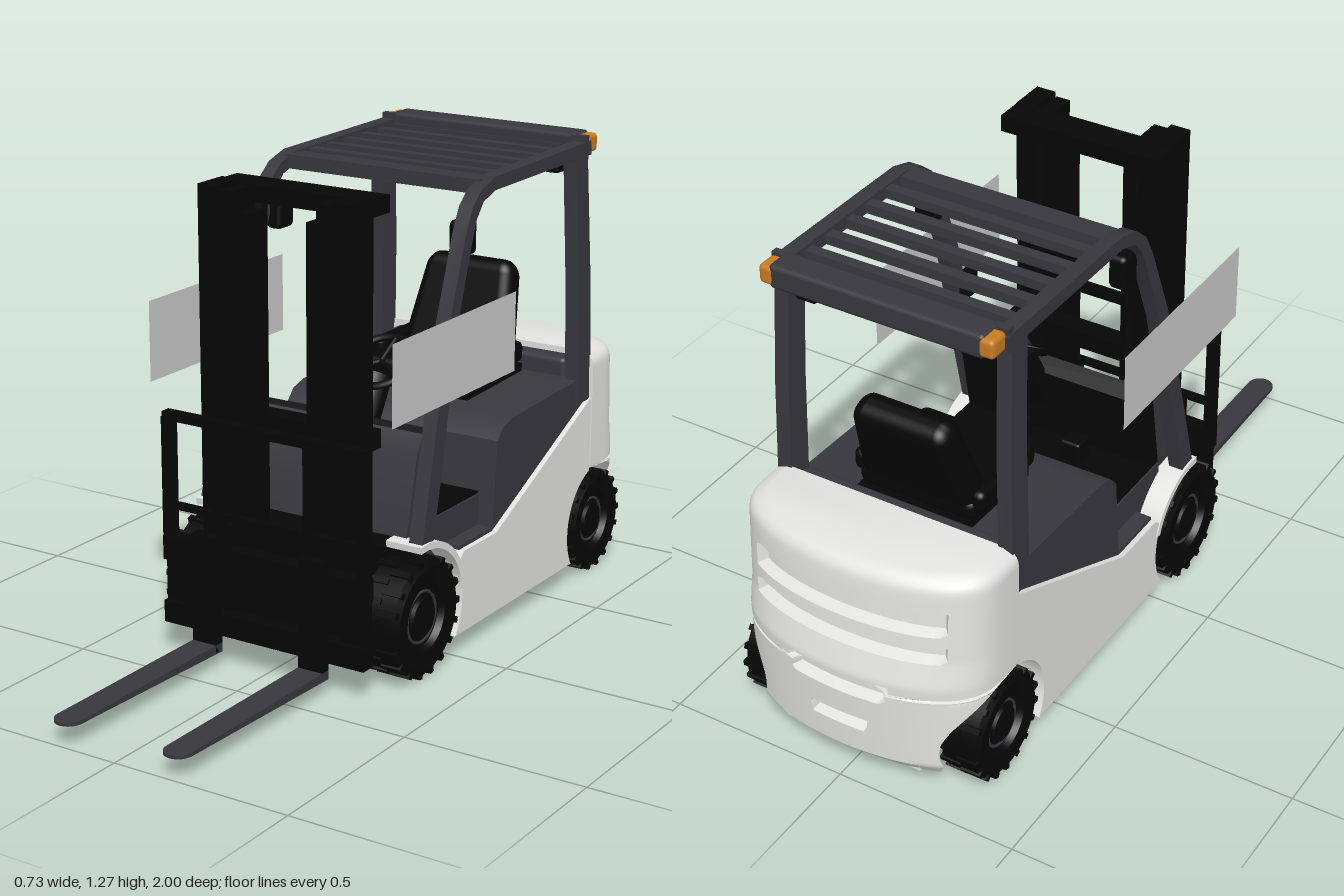
import * as THREE from 'three';
import { toCreasedNormals } from 'three/addons/utils/BufferGeometryUtils.js';
import { RoundedBoxGeometry } from 'three/addons/geometries/RoundedBoxGeometry.js';

const mat = (name, color, side = THREE.FrontSide) => {
  const m = new THREE.MeshStandardMaterial({ color, side });
  m.name = name;
  return m;
};

export function createModel() {
  const root = new THREE.Group();
  root.name = 'forklift';
  const white = mat('bodyWhite', 0xe2e2e0);
  const dark = mat('frameGrey', 0x37373d);
  const black = mat('black', 0x060606);
  const orange = mat('lampOrange', 0xc87a22);
  const grey = mat('panelGrey', 0xc8c8c8, THREE.DoubleSide);

  const add = (name, geo, m, parent = root) => {
    const mesh = new THREE.Mesh(geo, m);
    mesh.name = name;
    parent.add(mesh);
    return mesh;
  };
  // Box given by its x, y and z ranges
  const box = (name, m, [x0, x1], [y0, y1], [z0, z1], r = 0) => {
    const s = [x1 - x0, y1 - y0, z1 - z0];
    const g = r ? new RoundedBoxGeometry(...s, 3, r) : new THREE.BoxGeometry(...s);
    g.translate((x0 + x1) / 2, (y0 + y1) / 2, (z0 + z1) / 2);
    return add(name, g, m);
  };
  // The same box on both sides
  const pair = (name, m, [x0, x1], y, z, r) => {
    box(name + 'Left', m, [x0, x1], y, z, r);
    box(name + 'Right', m, [-x1, -x0], y, z, r);
  };
  const rod = (name, m, a, b, r, parent) => {
    const path = new THREE.LineCurve3(new THREE.Vector3(...a), new THREE.Vector3(...b));
    const mesh = add(name, new THREE.CylinderGeometry(r, r, path.getLength(), 14), m, parent);
    mesh.position.copy(path.getPoint(0.5));
    mesh.quaternion.setFromUnitVectors(new THREE.Vector3(0, 1, 0), path.getTangent(0));
    return mesh;
  };
  // Side profile of [z, y] points extruded across x
  const prism = (pts, x0, x1) => {
    const g = new THREE.ExtrudeGeometry(new THREE.Shape(pts.map(p => new THREE.Vector2(...p))), { depth: x1 - x0, bevelEnabled: false });
    g.rotateY(-Math.PI / 2);
    g.translate(x1, 0, 0);
    return toCreasedNormals(g, 0.6);
  };
  const arc = (z, y, r, a0, a1, n = 14) => Array.from({ length: n + 1 }, (_, i) => {
    const a = (a0 + (a1 - a0) * i / n) * Math.PI / 180;
    return [z + r * Math.cos(a), y + r * Math.sin(a)];
  });

  // Lower body with wheel arch cutouts, and the front fenders
  add('body', prism([
    ...arc(0.16, 0.165, 0.185, 215, 150), [-0.03, 0.285], [-0.2, 0.285], [-0.72, 0.525],
    ...arc(-0.77, 0.147, 0.17, 73, -31)], -0.35, 0.35), white);
  for (const s of [-1, 1]) {
    const c = s * 0.3;
    add('frontFender', prism([...arc(0.16, 0.165, 0.18, 160, 82), ...arc(0.16, 0.165, 0.198, 82, 160)], c - 0.053, c + 0.053), white);
  }
  add('hood', prism([[-0.2, 0.27], [-0.222, 0.53], [-0.25, 0.56], [-0.3, 0.574], [-0.72, 0.59], [-0.72, 0.3]], -0.335, 0.335), dark);
  box('floor', dark, [-0.29, 0.29], [0.2, 0.38], [-0.21, 0.09]);
  box('floorMat', black, [-0.285, 0.285], [0.38, 0.386], [-0.21, 0.09]);
  pair('step', dark, [0.28, 0.335], [0.27, 0.295], [-0.2, -0.03]);
  box('rearCowl', dark, [-0.29, 0.29], [0.55, 0.64], [-0.74, -0.67], 0.015);
  box('frontAxle', black, [-0.24, 0.24], [0.064, 0.35], [-0.03, 0.21]);
  box('rearAxle', black, [-0.19, 0.19], [0.08, 0.32], [-0.95, -0.6]);
  box('rearUnderside', white, [-0.2, 0.2], [0.06, 0.085], [-0.94, -0.6]);

  // Counterweight: stacked outlines with pressed-in slots at the back
  const profile = [[0.06, 0.235], [0.1, 0.27], [0.35, 0.28], [0.42, 0.258], [0.6, 0.243], [0.66, 0.235]];
  const slots = [[0.5, 0.558, 0.27], [0.42, 0.462, 0.26], [0.28, 0.335, 0.13], [0.17, 0.205, 0.08]];
  const depthAt = y => {
    const i = Math.max(1, profile.findIndex(p => p[0] >= y));
    const [a, b] = [profile[i - 1], profile[i]];
    return a[1] + (b[1] - a[1]) * (y - a[0]) / (b[0] - a[0]);
  };
  // Rounded rectangle with a bowed back, at angle t
  const outline = (t, w, D) => {
    const c = Math.cos(t), s = Math.max(0, Math.sin(t));
    const k = (Math.abs(c) ** 5 + s ** 5) ** -0.2;
    return [w * c * k, D * s * k * (1 - 0.28 * (c * k) ** 2)];
  };
  const rows = 60, cols = 72, pos = [], idx = [];
  for (let j = 0; j <= rows; j++) {
    const y = 0.06 + 0.597 * j / rows;
    const s = Math.min(1, Math.max(0, (y - 0.617) / 0.04));
    const inset = 0.04 * (1 - Math.sqrt(1 - s * s));
    const w = 0.353 - inset, D = depthAt(y) - inset;
    const h = 0.17 ** 2 - (y - 0.147) ** 2;
    const start = h > 0 ? 0.05 + Math.sqrt(h) : 0;
    let t0 = 0;
    while (t0 < 1.4 && outline(t0, w, D)[1] < start) t0 += 0.004;
    for (let i = 0; i <= cols; i++) {
      let [x, d] = outline(t0 + (Math.PI - 2 * t0) * i / cols, w, D);
      if (slots.some(([a, b, e]) => y > a && y < b && Math.abs(x) < e)) d -= 0.03;
      pos.push(x, y, -0.72 - d);
    }
  }
  const n = cols + 1;
  for (let j = 0; j < rows; j++) for (let i = 0; i < n; i++) {
    const a = j * n + i, b = j * n + (i + 1) % n;
    idx.push(a, b, b + n, a, b + n, a + n);
  }
  pos.push(0, 0.06, -0.93, 0, 0.657, -0.8);
  for (let i = 0; i < n; i++) {
    const k = (i + 1) % n, top = rows * n;
    idx.push(n * (rows + 1), k, i, n * (rows + 1) + 1, top + i, top + k);
  }
  const cw = new THREE.BufferGeometry();
  cw.setAttribute('position', new THREE.Float32BufferAttribute(pos, 3));
  cw.setIndex(idx);
  add('counterweight', toCreasedNormals(cw, 0.6), white);

  // Wheels with tread lugs
  const wheel = (name, x, y, z, r, w) => {
    const g = new THREE.Group();
    g.name = name;
    g.position.set(x, y, z);
    root.add(g);
    const section = [[0.3, 0.3], [0.52, 0.3], [0.56, 0.45], [0.85, 0.5], [0.96, 0.4], [0.96, -0.4], [0.85, -0.5], [0.56, -0.45], [0.52, -0.3], [0.3, -0.3]]
      .map(([a, b]) => new THREE.Vector2(a * r, -b * w));
    const tire = new THREE.LatheGeometry(section, 40);
    tire.rotateZ(Math.PI / 2);
    add('tire', toCreasedNormals(tire, 0.5), black, g);
    const hub = new THREE.CylinderGeometry(r * 0.32, r * 0.4, w * 0.8, 20);
    hub.rotateZ(x > 0 ? -Math.PI / 2 : Math.PI / 2);
    add('hub', hub, black, g);
    const rim = new THREE.TorusGeometry(r * 0.42, 0.004, 6, 32);
    rim.rotateY(Math.PI / 2);
    rim.translate(Math.sign(x) * w * 0.32, 0, 0);
    add('rimRing', rim, dark, g);
    for (let i = 0; i < 36; i++) {
      const lug = new THREE.BoxGeometry(w * 0.5, r * 0.12, r * 0.1);
      lug.translate(w * (i % 2 ? 0.22 : -0.22), r * 0.935, 0);
      lug.rotateX(i * Math.PI / 18);
      add('treadLug', lug, black, g);
    }
  };
  for (const s of [-1, 1]) {
    wheel('frontWheel', s * 0.3, 0.163, 0.16, 0.163, 0.118);
    wheel('rearWheel', s * 0.293, 0.147, -0.77, 0.147, 0.115);
  }

  // Overhead guard: pillars lean slightly outward toward the base
  const frontPillar = [[0.175, 0.35], [0.125, 0.55], [0.035, 0.9], [-0.05, 1.12], [-0.085, 1.185], [-0.13, 1.222], [-0.2, 1.243], [-0.72, 1.25],
    [-0.72, 1.212], [-0.2, 1.208], [-0.14, 1.19], [-0.105, 1.15], [-0.083, 1.1], [-0.01, 0.9], [0.07, 0.55], [0.12, 0.35]];
  const rearPillar = [[-0.635, 1.215], [-0.7, 1.215], [-0.72, 0.9], [-0.73, 0.52], [-0.655, 0.52], [-0.65, 0.9]];
  for (const s of [-1, 1]) for (const [name, pts] of [['guardRail', frontPillar], ['rearPillar', rearPillar]]) {
    const g = prism(pts, s * 0.307 - 0.02, s * 0.307 + 0.02), p = g.attributes.position;
    for (let i = 0; i < p.count; i++) p.setX(i, p.getX(i) + s * 0.022 * (1.25 - p.getY(i)));
    add(name, g, dark);
  }
  for (let i = 0; i < 6; i++) {
    const z = -0.28 - i * 0.084;
    box('roofBar', dark, [-0.3, 0.3], [1.212, 1.238], [z - 0.015, z + 0.015]);
  }
  box('roofFrontBar', dark, [-0.3, 0.3], [1.2, 1.238], [-0.225, -0.165]);
  box('roofRearBeam', dark, [-0.295, 0.295], [1.205, 1.27], [-0.768, -0.69], 0.012);
  pair('lampBracket', dark, [0.28, 0.325], [1.2, 1.266], [-0.71, -0.69]);
  pair('rearLamp', orange, [0.28, 0.322], [1.213, 1.264], [-0.77, -0.71], 0.012);
  pair('workLamp', black, [0.2, 0.26], [1.16, 1.215], [-0.72, -0.66], 0.01);
  pair('mirror', black, [0.258, 0.308], [1.05, 1.145], [-0.15, -0.08], 0.015);
  pair('headLamp', black, [0.272, 0.306], [0.73, 0.81], [0.04, 0.1], 0.012);

  // Dashboard, steering and controls
  add('dashFront', prism([[0.15, 0.36], [0.1, 0.58], [0.07, 0.62], [0.06, 0.6], [0.1, 0.36]], -0.285, 0.285), dark);
  add('dashboard', prism([[0.1, 0.36], [0.06, 0.6], [0.07, 0.62], [0.055, 0.632], [0.02, 0.6], [0.06, 0.36]], -0.283, 0.283), black);
  rod('steeringColumn', black, [0.06, 0.5, 0.06], [0.06, 0.71, -0.06], 0.042);
  const wheelGroup = new THREE.Group();
  wheelGroup.name = 'steeringWheel';
  wheelGroup.position.set(0.06, 0.74, -0.08);
  wheelGroup.rotation.x = -Math.PI / 2 + 0.55;
  root.add(wheelGroup);
  add('steeringRim', new THREE.TorusGeometry(0.09, 0.01, 8, 32), black, wheelGroup);
  for (let i = 0; i < 3; i++) {
    const a = i * Math.PI * 2 / 3 + Math.PI / 2;
    rod('steeringSpoke', black, [0, 0, 0], [0.09 * Math.cos(a), 0.09 * Math.sin(a), 0], 0.008, wheelGroup);
  }
  pair('pedal', black, [0.06, 0.12], [0.38, 0.45], [-0.04, 0.02], 0.008);

  // Seat
  box('seatBase', black, [-0.16, 0.16], [0.57, 0.61], [-0.66, -0.36]);
  box('seatCushion', black, [-0.17, 0.17], [0.6, 0.665], [-0.63, -0.33], 0.025);
  const back = new RoundedBoxGeometry(0.34, 0.3, 0.09, 4, 0.04), bp = back.attributes.position;
  for (let i = 0; i < bp.count; i++) bp.setX(i, bp.getX(i) * (1 - 1.6 * Math.max(0, bp.getY(i))));
  const seatBack = add('seatBack', back, black);
  seatBack.position.set(0, 0.755, -0.62);
  seatBack.rotation.x = -0.33;
  pair('armrest', black, [0.15, 0.19], [0.63, 0.69], [-0.62, -0.42], 0.018);

  // Mast
  pair('outerMastRail', black, [0.172, 0.227], [0.06, 1.255], [0.22, 0.325]);
  pair('innerMastRail', black, [0.125, 0.165], [0.06, 1.245], [0.225, 0.32]);
  pair('innerMastWeb', black, [0.082, 0.126], [0.1, 1.19], [0.24, 0.3]);
  for (const s of [-1, 1]) rod('liftCylinder', black, [s * 0.14, 0.08, 0.185], [s * 0.14, 1.23, 0.185], 0.022);
  box('mastTopBeam', black, [-0.23, 0.23], [1.205, 1.25], [0.15, 0.24]);
  box('mastMiddleBeam', black, [-0.22, 0.22], [0.6, 0.65], [0.17, 0.23]);
  box('mastLowerBeam', black, [-0.22, 0.22], [0.07, 0.25], [0.19, 0.26]);

  // Carriage and load backrest
  box('carriageUpperBar', black, [-0.31, 0.31], [0.26, 0.325], [0.345, 0.39]);
  box('carriageLowerBar', black, [-0.31, 0.31], [0.085, 0.145], [0.345, 0.39]);
  pair('carriagePlate', black, [0.115, 0.16], [0.09, 0.38], [0.31, 0.36]);
  pair('carriageSidePlate', black, [0.23, 0.31], [0.1, 0.3], [0.35, 0.375]);
  box('carriageCenterPlate', black, [-0.12, 0.12], [0.14, 0.27], [0.34, 0.35]);
  box('backrestTop', black, [-0.31, 0.31], [0.64, 0.662], [0.355, 0.385]);
  box('backrestMiddle', black, [-0.31, 0.31], [0.4, 0.416], [0.36, 0.38]);
  for (const x of [0.298, 0.14]) pair('backrestBar', black, [x - 0.011, x + 0.011], [0.3, 0.65], [0.35, 0.39]);

  // Forks: tapered blades with rounded tips and upright shanks
  for (const s of [-1, 1]) {
    const shape = new THREE.Shape();
    shape.moveTo(-0.037, 0.385).lineTo(0.037, 0.385).lineTo(0.037, 0.965).absarc(0, 0.965, 0.036, 0, Math.PI, false);
    const g = new THREE.ExtrudeGeometry(shape, { depth: 0.025, bevelEnabled: false });
    g.rotateX(Math.PI / 2);
    const p = g.attributes.position;
    for (let i = 0; i < p.count; i++) {
      const t = (p.getZ(i) - 0.385) / 0.615;
      p.setY(i, 0.065 + p.getY(i) * (1 - 0.65 * t));
    }
    g.translate(s * 0.165, 0, 0);
    add('forkBlade', toCreasedNormals(g, 0.6), dark);
    box('forkShank', black, [s * 0.165 - 0.037, s * 0.165 + 0.037], [0.045, 0.36], [0.385, 0.413]);
  }

  // Flat side panels
  for (const s of [-1, 1]) {
    const g = new THREE.PlaneGeometry(0.6, 0.215);
    g.rotateY(s * Math.PI / 2);
    g.translate(s * 0.367, 0.83, 0.053);
    add('sidePanel', g, grey);
  }
  return root;
}
